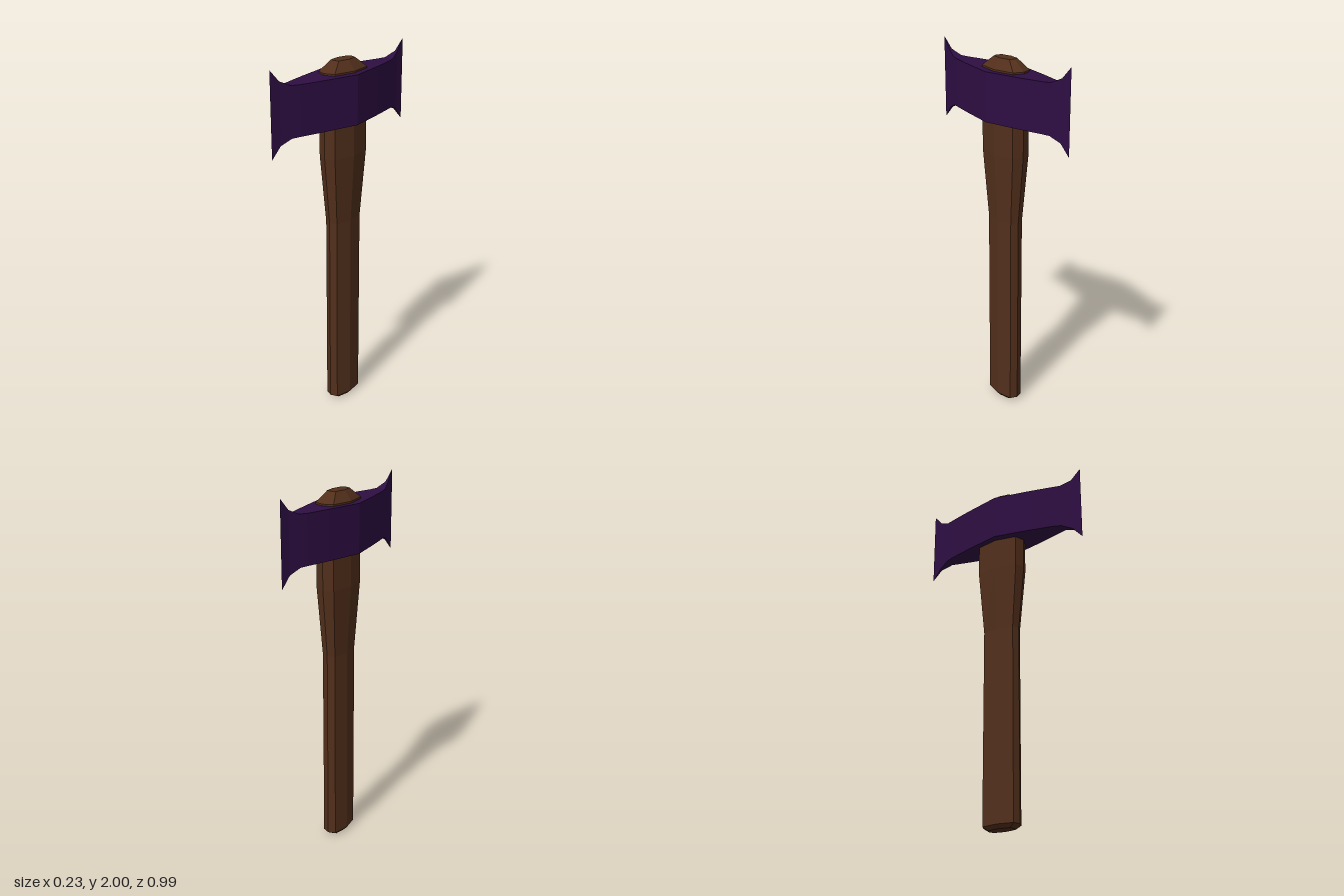
import * as THREE from 'three';

// Skin a list of equal-length rings (counter-clockwise seen from the last ring), with end caps
function loft(rings) {
  const pos = [];
  const tri = (a, b, c) => {
    const area = new THREE.Triangle(a, b, c).getArea();
    if (area > 1e-8) for (const p of [a, b, c]) pos.push(p.x, p.y, p.z);
  };
  const n = rings[0].length;
  for (let r = 0; r < rings.length - 1; r++) {
    const a = rings[r], b = rings[r + 1];
    for (let i = 0; i < n; i++) {
      const j = (i + 1) % n;
      tri(a[i], a[j], b[j]);
      tri(a[i], b[j], b[i]);
    }
  }
  const first = rings[0], last = rings[rings.length - 1];
  for (let i = 1; i < n - 1; i++) {
    tri(first[0], first[i + 1], first[i]);
    tri(last[0], last[i], last[i + 1]);
  }
  const geo = new THREE.BufferGeometry();
  geo.setAttribute('position', new THREE.Float32BufferAttribute(pos, 3));
  geo.computeVertexNormals();
  return geo;
}

function part(name, rings, color) {
  const mesh = new THREE.Mesh(loft(rings), new THREE.MeshStandardMaterial({ color, flatShading: true }));
  mesh.name = name;
  return mesh;
}

export function createModel() {
  const group = new THREE.Group();
  group.name = 'doubleAxe';

  // Handle: flattened octagon, flaring towards the head; [y, half width, half depth]
  const octagon = [[0, 1], [0.7, 0.855], [1, 0], [0.7, -0.855], [0, -1], [-0.7, -0.855], [-1, 0], [-0.7, 0.855]];
  const handle = [
    [0, 0.038, 0.075], [0.02, 0.056, 0.106], [1.1, 0.056, 0.106],
    [1.47, 0.077, 0.141], [1.917, 0.078, 0.142], [1.97, 0.038, 0.071],
  ];
  group.add(part('handle', handle.map(([y, w, d]) =>
    octagon.map(([x, z]) => new THREE.Vector3(x * w, y, z * d - 0.0175))), 0x522f1b));

  // Double-bladed head: mirrored sections along z; [z, half width, half height]
  const blade = [
    [0, 0.116, 0.13], [0.1, 0.095, 0.13], [0.2, 0.074, 0.13], [0.28, 0.055, 0.13],
    [0.335, 0.041, 0.13], [0.38, 0.027, 0.132], [0.44, 0.008, 0.16], [0.493, 0, 0.222],
  ];
  const back = blade.slice(1).reverse().map(([z, w, h]) => [-z, w, h]);
  group.add(part('axeHead', [...back, ...blade].map(([z, w, h]) =>
    [[1, -1], [1, 1], [-1, 1], [-1, -1]].map(([sx, sy]) => new THREE.Vector3(sx * w, 1.778 + sy * h, z))), 0x2e0e43));

  return group;
}
